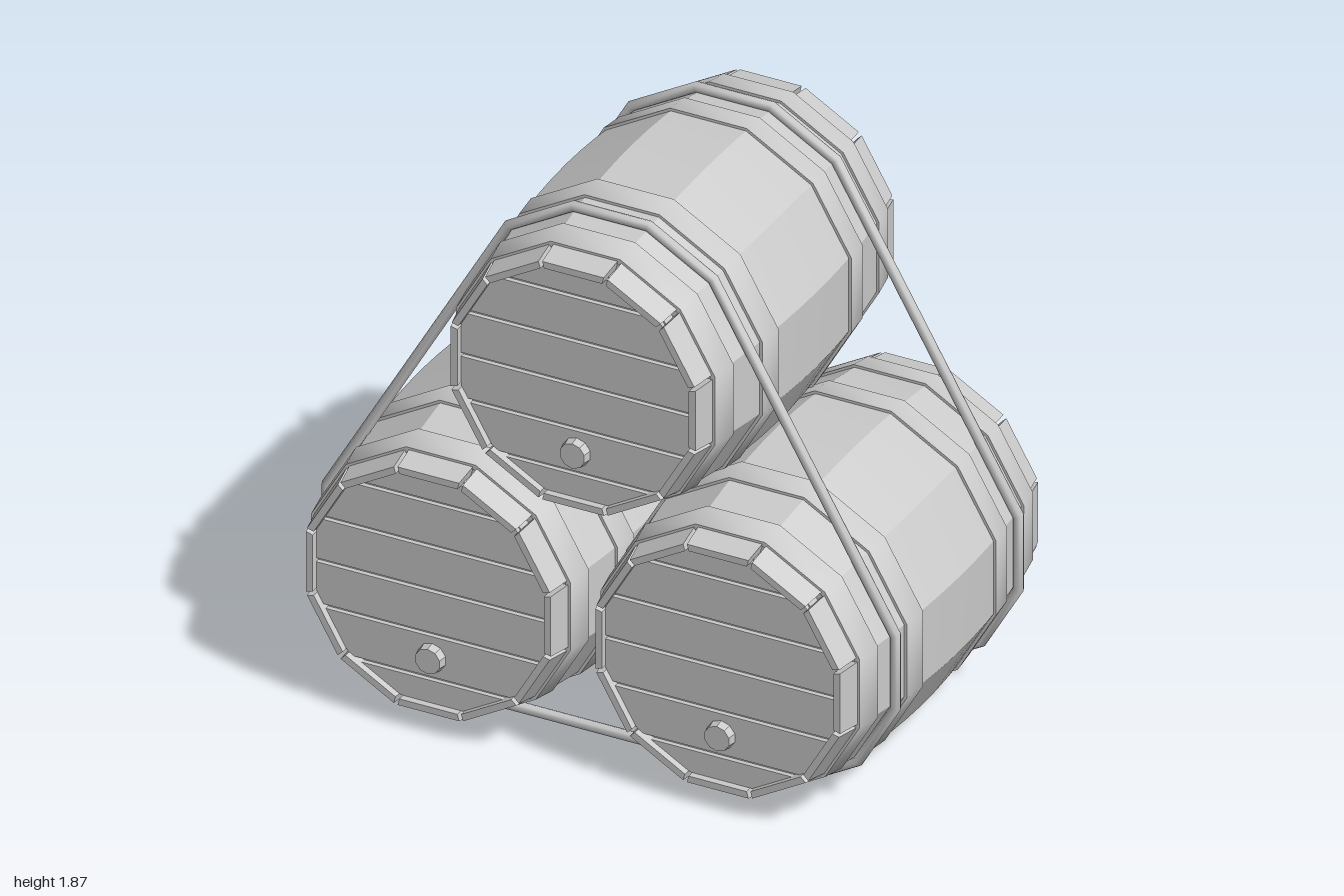
import * as THREE from 'three';
import { toCreasedNormals } from 'three/addons/utils/BufferGeometryUtils.js';

const SIDES = 12;
const HALF = Math.PI / SIDES;
const LENGTH = 0.652;          // half length of a barrel
const LID = 0.4;               // flat-to-centre radius of the lid
const CENTRES = { left: [0.5, 0.505], right: [-0.5, 0.505], top: [0, 1.373] };

const material = new THREE.MeshStandardMaterial({ color: 0xcccccc });

function mesh(name, geometry) {
  const m = new THREE.Mesh(geometry, material);
  m.name = name;
  return m;
}

// Flat-to-centre radius of the bulging barrel at position z
const bulge = (z) => 0.495 - 0.073 * (z / LENGTH) ** 2;

// Twelve-sided ring or solid along z from [flat radius, z] points
function turned(points, crease) {
  const profile = points.map(([r, z]) => new THREE.Vector2(r / Math.cos(HALF), z));
  const g = new THREE.LatheGeometry(profile, SIDES, HALF);
  g.rotateX(Math.PI / 2);
  return toCreasedNormals(g, crease);
}

// Bulging body, stepped in at both ends behind the lids
function bodyGeometry() {
  const points = [[0.001, -0.612], [0.405, -0.612], [0.405, -0.565]];
  for (let i = -6; i <= 6; i++) {
    const z = (i / 6) * 0.565;
    points.push([bulge(z), z]);
  }
  points.push([0.405, 0.565], [0.405, 0.612], [0.001, 0.612]);
  return turned(points, 0.4);
}

// Metal band following the bulge between z0 and z1
function hoopGeometry(z0, z1) {
  const a = bulge(z0), b = bulge(z1), t = 0.009;
  return turned([[a - t, z0], [a + t, z0], [b + t, z1], [b - t, z1]], 0.7);
}

// One stave tip of the raised rim, with a gap to its neighbours
function staveEndGeometry() {
  const g = new THREE.BoxGeometry(1, 1, 1);
  const p = g.attributes.position;
  for (let i = 0; i < p.count; i++) {
    const z = p.getZ(i) > 0 ? LENGTH : 0.55;
    const r = p.getY(i) > 0 ? bulge(z) + 0.001 : LID;
    const w = r * Math.tan(HALF) - 0.007;
    p.setXYZ(i, Math.sign(p.getX(i)) * w, r, z);
  }
  g.computeVertexNormals();
  return g;
}

// Half width of the twelve-sided lid at height y, and its corner heights
const R = LID / Math.cos(HALF);
const corners = [HALF, 3 * HALF, 5 * HALF].map((a) => [R * Math.sin(a), R * Math.cos(a)]);
function lidWidth(y) {
  const h = Math.abs(y);
  if (h <= corners[0][0]) return LID;
  const k = h <= corners[1][0] ? 0 : 1;
  const [y0, w0] = corners[k], [y1, w1] = corners[k + 1];
  return w0 + ((w1 - w0) * (h - y0)) / (y1 - y0);
}

// Lid plank cut to the outline between two heights
function plankGeometry(y0, y1) {
  const turns = corners.flatMap(([y]) => [y, -y]).filter((y) => y > y0 && y < y1);
  const ys = [y0, ...turns.sort((a, b) => a - b), y1];
  const right = ys.map((y) => new THREE.Vector2(lidWidth(y), y));
  const left = ys.map((y) => new THREE.Vector2(-lidWidth(y), y)).reverse();
  const g = new THREE.ExtrudeGeometry(new THREE.Shape([...right, ...left]), {
    depth: 0.02, bevelEnabled: false,
  });
  return g.translate(0, 0, 0.608);
}

const body = bodyGeometry();
const hoops = [[-0.57, -0.48], [-0.33, -0.24], [0.24, 0.33], [0.48, 0.57]]
  .map(([a, b]) => hoopGeometry(a, b));
const staveEnd = staveEndGeometry();
const planks = [];
for (let i = -3; i < 3; i++) {
  const y0 = Math.max(i * 0.157 + 0.007, -LID);
  const y1 = Math.min((i + 1) * 0.157 - 0.007, LID);
  planks.push(plankGeometry(i === -3 ? -LID : y0, i === 2 ? LID : y1));
}

// Rim and planked lid of one barrel end
function barrelEnd(name) {
  const end = new THREE.Group();
  end.name = name;
  planks.forEach((g) => end.add(mesh('lidPlank', g)));
  for (let i = 0; i < SIDES; i++) {
    const tip = mesh('staveEnd', staveEnd);
    tip.rotation.z = 2 * HALF * i;
    end.add(tip);
  }
  return end;
}

function barrel(name, [x, y]) {
  const group = new THREE.Group();
  group.name = name;
  group.add(mesh('barrelBody', body));
  hoops.forEach((g) => group.add(mesh('hoop', g)));
  const back = barrelEnd('backEnd');
  back.rotation.y = Math.PI;
  group.add(barrelEnd('frontEnd'), back);

  // Stopper in the front lid
  const plug = new THREE.CylinderGeometry(0.044, 0.051, 0.04, 10).rotateX(Math.PI / 2);
  const bung = mesh('bung', toCreasedNormals(plug, 0.5));
  bung.position.set(0, -0.237, 0.638);
  group.add(bung);
  group.position.set(x, y, 0);
  return group;
}

// Rope loop: a twelve-sided ring whose corners are pulled out to the three barrels
function ropeGeometry() {
  const g = new THREE.TorusGeometry(0.482 / Math.cos(HALF), 0.018, 8, SIDES);
  g.rotateZ(HALF);
  const p = g.attributes.position;
  for (let i = 0; i < p.count; i++) {
    const angle = Math.atan2(p.getY(i), p.getX(i));
    const deg = (THREE.MathUtils.radToDeg(angle) + 360) % 360;
    const c = deg > 30 && deg < 150 ? CENTRES.top
      : deg > 150 && deg < 270 ? CENTRES.right : CENTRES.left;
    p.setXY(i, p.getX(i) + c[0], p.getY(i) + c[1]);
  }
  return g;
}

export function createModel() {
  const model = new THREE.Group();
  model.name = 'barrelStack';
  for (const [side, centre] of Object.entries(CENTRES)) {
    model.add(barrel(side + 'Barrel', centre));
  }
  const rope = ropeGeometry();
  for (const z of [0.4, -0.41]) {
    const loop = mesh(z > 0 ? 'frontRope' : 'backRope', rope);
    loop.position.z = z;
    model.add(loop);
  }
  return model;
}
